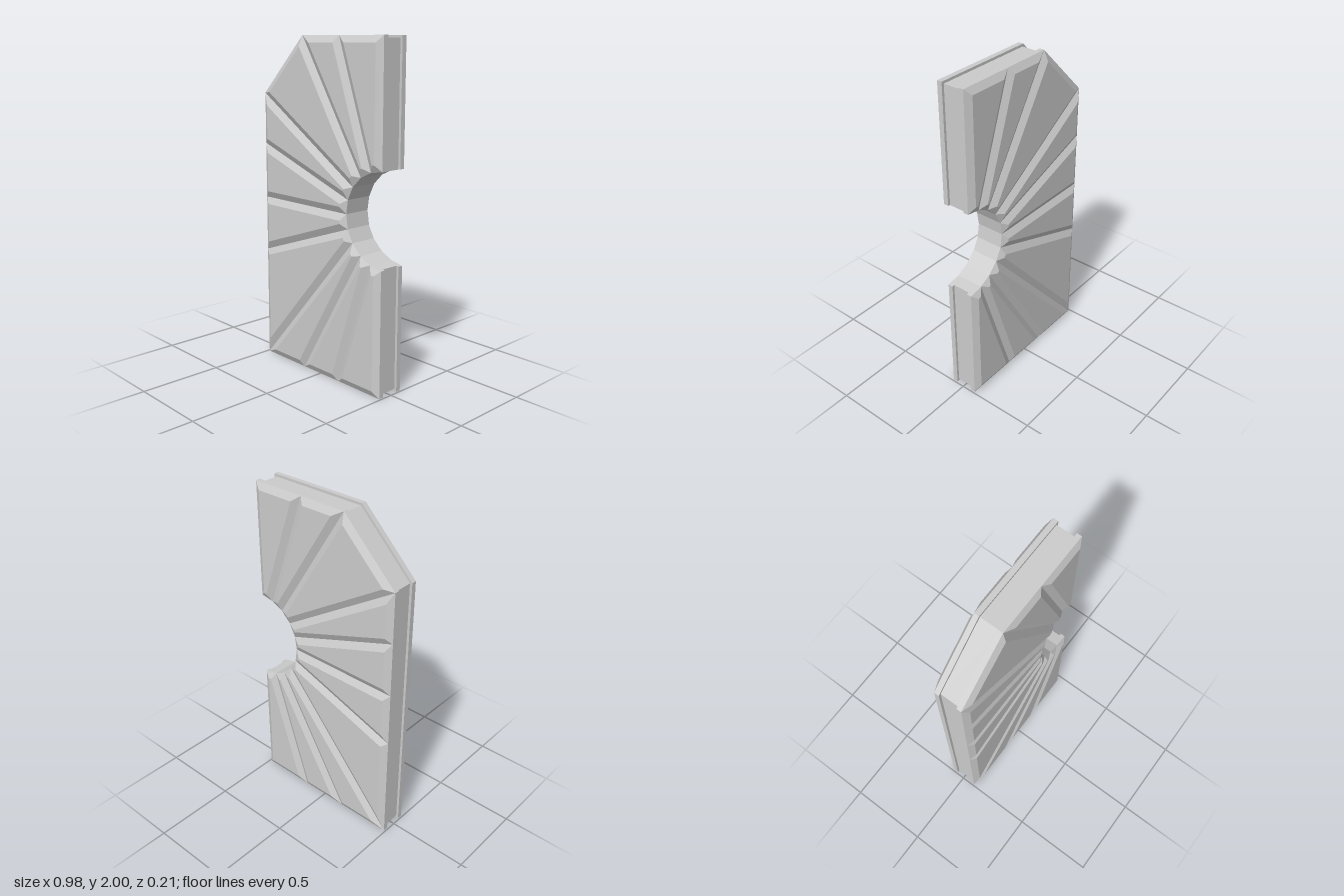
import * as THREE from 'three';

// Joint ends, anticlockwise from the top right: outer rim and arch rim
const OUTER = [[0.49, 2], [0.155, 2], [-0.145, 2], [-0.49, 1.66], [-0.49, 1.355], [-0.49, 1.02],
  [-0.49, 0.685], [-0.49, 0], [-0.145, 0], [0.155, 0], [0.49, 0]];
const INNER = [[0.49, 1.29], [0.405, 1.276], [0.33, 1.24], [0.268, 1.18], [0.23, 1.103], [0.217, 1.02],
  [0.23, 0.935], [0.268, 0.862], [0.332, 0.8], [0.405, 0.762], [0.49, 0.745]];
const CORE_Z = 0.055, RIM_Z = 0.085, FACE_Z = 0.107, BEVEL = 0.04, GROOVE = 0.015;

// Moves each edge of an anticlockwise polygon inward by distance(edgeIndex)
function inset(points, distance) {
  const n = points.length;
  const lines = points.map((p, i) => {
    const q = points[(i + 1) % n];
    const len = Math.hypot(q[0] - p[0], q[1] - p[1]);
    const nx = -(q[1] - p[1]) / len, ny = (q[0] - p[0]) / len;
    return { nx, ny, d: distance(i), c: nx * p[0] + ny * p[1] + distance(i) };
  });
  return points.map((p, i) => {
    const a = lines[(i + n - 1) % n], b = lines[i];
    const det = a.nx * b.ny - a.ny * b.nx;
    if (Math.abs(det) < 1e-5) return [p[0] + b.nx * b.d, p[1] + b.ny * b.d];
    return [(a.c * b.ny - b.c * a.ny) / det, (a.nx * b.c - b.nx * a.c) / det];
  });
}

// Flat slab of a polygon between two depths
function slab(points, z0, z1) {
  const shape = new THREE.Shape(points.map(([x, y]) => new THREE.Vector2(x, y)));
  return new THREE.ExtrudeGeometry(shape, { depth: z1 - z0, bevelEnabled: false }).translate(0, 0, z0);
}

// Four-sided stone face: bevels rising to a flat top, on the front (1) or back (-1)
function stoneFace(base, side) {
  const top = inset(base, () => BEVEL);
  const pos = [];
  const quad = (a, b, c, d) => {
    const order = side > 0 ? [a, b, c, a, c, d] : [a, c, b, a, d, c];
    order.forEach((p) => pos.push(...p));
  };
  const low = base.map(([x, y]) => [x, y, side * RIM_Z]);
  const high = top.map(([x, y]) => [x, y, side * FACE_Z]);
  for (let i = 0; i < 4; i++) {
    const j = (i + 1) % 4;
    quad(low[i], low[j], high[j], high[i]);
  }
  quad(...high);
  const geometry = new THREE.BufferGeometry();
  geometry.setAttribute('position', new THREE.Float32BufferAttribute(pos, 3));
  geometry.computeVertexNormals();
  return geometry;
}

export function createModel() {
  const group = new THREE.Group();
  const material = new THREE.MeshStandardMaterial({ color: 0xcccccc, flatShading: true });
  const add = (name, geometry) => {
    const mesh = new THREE.Mesh(geometry, material);
    mesh.name = name;
    group.add(mesh);
  };

  // Recessed core: set back at the outer edges, flush at the arch
  const outline = [...OUTER, ...[...INNER].reverse()];
  const last = OUTER.length - 1;
  const isArch = (i) => i > last && i < outline.length - 1;
  add('core', slab(inset(outline, (i) => (isArch(i) ? 0 : GROOVE)), -CORE_Z, CORE_Z));

  // Rims either side of the groove
  add('frontRim', slab(outline, CORE_Z, RIM_Z));
  add('backRim', slab(outline, -RIM_Z, -CORE_Z));

  // Bevelled wedge stones fanning out from the arch
  for (let i = 0; i < last; i++) {
    const wedge = [OUTER[i], OUTER[i + 1], INNER[i + 1], INNER[i]];
    add(`frontStone${i + 1}`, stoneFace(wedge, 1));
    add(`backStone${i + 1}`, stoneFace(wedge, -1));
  }
  return group;
}
